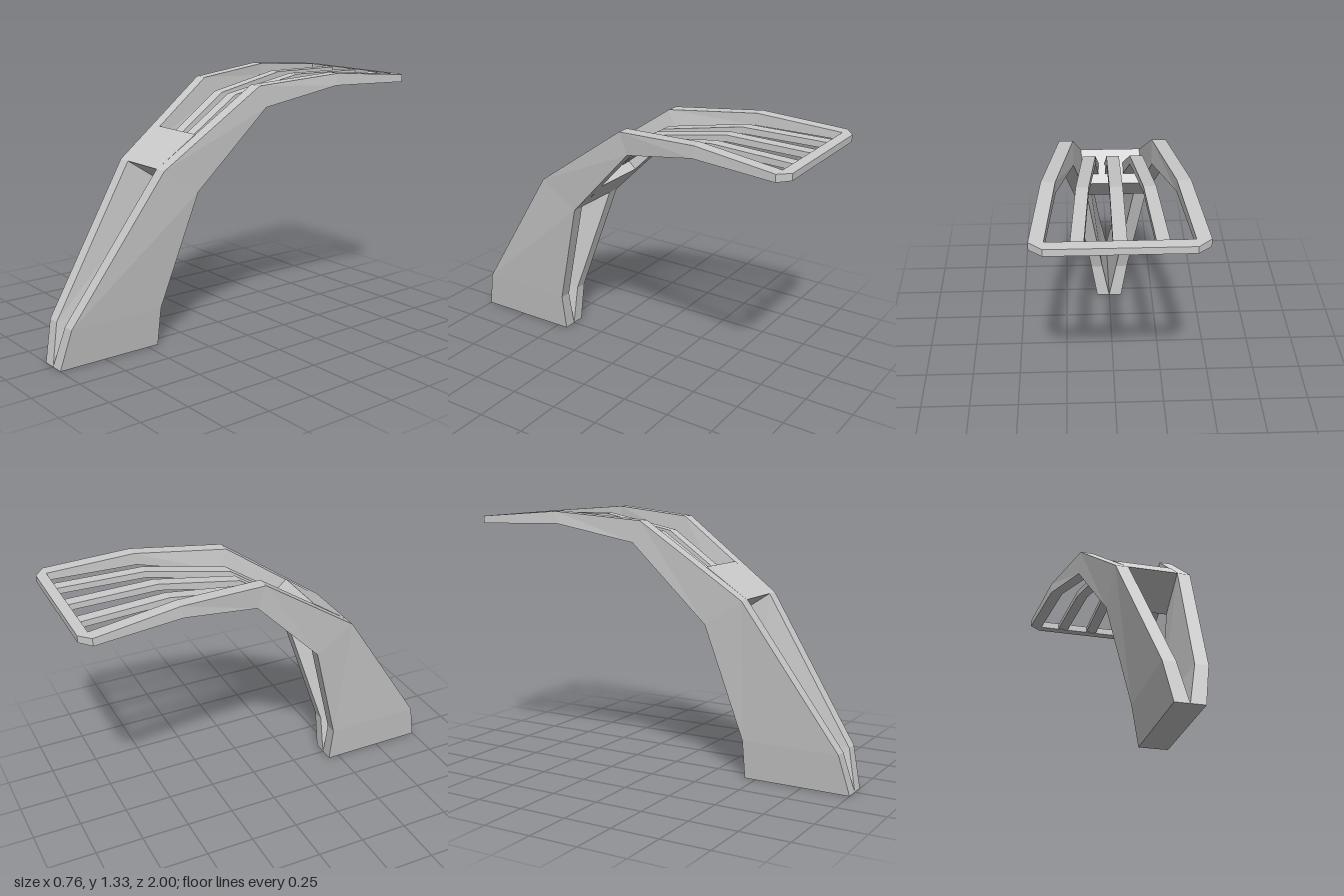
import * as THREE from 'three';

const material = new THREE.MeshStandardMaterial({ color: 0xcccccc, flatShading: true });

// Loft of four-sided sections: x0..x1 wide, from a front/top point to a back/bottom point ([y, z]).
function loft(name, sections, side = 1) {
  const rings = sections.map(({ x, front, back }) => {
    const [lo, hi] = x.map(v => v * side).sort((a, b) => a - b);
    return [[hi, ...front], [lo, ...front], [lo, ...back], [hi, ...back]];
  });
  const pos = [];
  const quad = (p, q, r, s) => pos.push(...p, ...q, ...r, ...p, ...r, ...s);
  for (let k = 0; k < rings.length - 1; k++) {
    const a = rings[k], b = rings[k + 1];
    for (let i = 0; i < 4; i++) {
      const j = (i + 1) % 4;
      quad(a[j], a[i], b[i], b[j]);
    }
  }
  const end = rings[rings.length - 1];
  quad(...rings[0]);
  quad(end[3], end[2], end[1], end[0]);
  const geometry = new THREE.BufferGeometry();
  geometry.setAttribute('position', new THREE.Float32BufferAttribute(pos, 3));
  geometry.computeVertexNormals();
  const mesh = new THREE.Mesh(geometry, material);
  mesh.name = name;
  return mesh;
}

export function createModel() {
  const model = new THREE.Group();
  model.name = 'archedFork';

  // Side rails: joined at the foot, spreading and arching backwards
  const rail = [
    { x: [0, 0.07], front: [0, 1], back: [0, 0.44] },
    { x: [0.04, 0.103], front: [0.205, 0.95], back: [0.205, 0.44] },
    { x: [0.125, 0.19], front: [0.92, 0.47], back: [0.79, 0.27] },
    { x: [0.19, 0.257], front: [1.29, -0.06], back: [1.18, -0.105] },
    { x: [0.27, 0.335], front: [1.327, -0.52], back: [1.265, -0.51] },
    { x: [0.315, 0.38], front: [1.293, -0.95], back: [1.255, -0.95] },
  ];
  model.add(loft('leftRail', rail), loft('rightRail', rail, -1));

  // Cross plate bridging the rails at the bend
  model.add(loft('crossPlate', [
    { x: [-0.13, 0.13], front: [0.92, 0.47], back: [0.79, 0.27] },
    { x: [-0.155, 0.155], front: [1.07, 0.26], back: [0.945, 0.12] },
  ]));

  // End bar with chamfered corners
  model.add(loft('endBar', [
    { x: [-0.38, 0.38], front: [1.293, -0.95], back: [1.255, -0.95] },
    { x: [-0.32, 0.32], front: [1.289, -1], back: [1.255, -1] },
  ]));

  // Slats running from the cross plate to the end bar, set below the rail tops
  const slat = (name, xs, side) => loft(name, [
    { x: xs[0], front: [1.02, 0.21], back: [0.98, 0.16] },
    { x: xs[1], front: [1.22, -0.09], back: [1.182, -0.105] },
    { x: xs[2], front: [1.295, -0.515], back: [1.262, -0.51] },
    { x: xs[3], front: [1.288, -0.96], back: [1.258, -0.96] },
  ], side);
  model.add(slat('centreSlat', Array(4).fill([-0.03, 0.03]), 1));
  const outer = [[0.063, 0.125], [0.083, 0.145], [0.122, 0.18], [0.15, 0.208]];
  model.add(slat('leftSlat', outer, 1), slat('rightSlat', outer, -1));

  return model;
}
